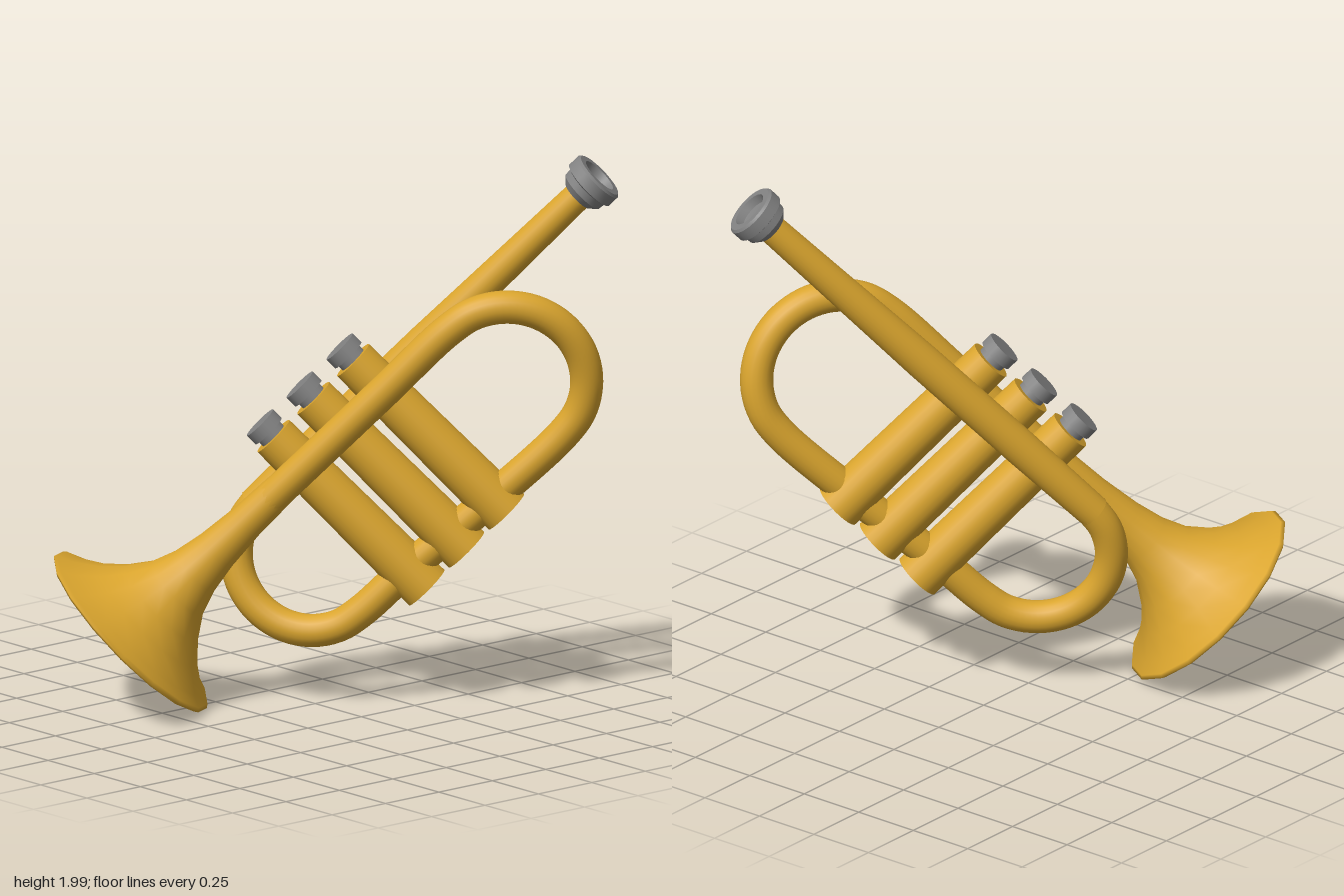
import * as THREE from 'three';
import { toCreasedNormals } from 'three/addons/utils/BufferGeometryUtils.js';

export function createModel() {
  const brass = new THREE.MeshStandardMaterial({ color: 0xdaa52e });
  brass.name = 'brass';
  const steel = new THREE.MeshStandardMaterial({ color: 0x838383 });
  steel.name = 'steel';

  const model = new THREE.Group();
  model.name = 'trumpet';

  // Local frame: x runs along the pipes to the mouthpiece, y up the valves, z across.
  const body = new THREE.Group();
  body.name = 'body';
  const h = Math.SQRT1_2;
  body.applyMatrix4(new THREE.Matrix4().makeBasis(
    new THREE.Vector3(0.5, h, -0.5),
    new THREE.Vector3(-0.5, h, 0.5),
    new THREE.Vector3(h, 0, h)));
  model.add(body);

  const add = (name, geometry, material, x = 0, y = 0, z = 0) => {
    const mesh = new THREE.Mesh(geometry, material);
    mesh.name = name;
    mesh.position.set(x, y, z);
    body.add(mesh);
    return mesh;
  };
  // Turned part whose axis lies along local x; profile is [radius, x]
  const turned = (profile, sides) =>
    new THREE.LatheGeometry(profile.map(([r, x]) => new THREE.Vector2(r, x)), sides).rotateZ(-Math.PI / 2);

  const pipeY = 0.657, leadZ = -0.1;

  // Bell: inside wall from the throat to the rim, then the outside back to the pipe
  add('bell', turned([
    [0, 0.4], [0.05, 0.3], [0.068, 0.12], [0.11, -0.03], [0.17, -0.11], [0.235, -0.18], [0.32, -0.245],
    [0.372, -0.272], [0.385, -0.262], [0.375, -0.25],
    [0.33, -0.232], [0.25, -0.175], [0.187, -0.11], [0.132, -0.03], [0.1, 0.06], [0.08, 0.17],
    [0.066, 0.32], [0.06, 0.5],
  ], 16), brass, 0, pipeY, 0.09);

  // Lead pipe, narrowing towards the mouthpiece
  add('leadPipe', turned([[0.06, 0.34], [0.065, 0.7], [0.065, 1.2], [0.052, 2.0]], 24), brass, 0, pipeY, leadZ);

  // Half-circle bend in the x-y plane, with z drifting from z0 to z1
  const bend = (cx, cy, r, start, turn, z0, z1) => Array.from({ length: 9 }, (_, i) => {
    const t = i / 8, angle = start + turn * t;
    return new THREE.Vector3(cx + r * Math.cos(angle), cy + r * Math.sin(angle),
      THREE.MathUtils.lerp(z0, z1, t * t * (3 - 2 * t)));
  });

  // One pipe: round the lower bend, through the valves, round the upper bend to the bell
  const path = new THREE.CatmullRomCurve3([
    new THREE.Vector3(0.5, pipeY, leadZ),
    ...bend(0.36, 0.394, 0.263, Math.PI / 2, Math.PI, leadZ, 0),
    new THREE.Vector3(0.59, 0.125, 0),
    new THREE.Vector3(0.99, 0.1, 0),
    ...bend(1.34, 0.374, 0.283, -Math.PI / 2, Math.PI, 0, 0.12),
    new THREE.Vector3(1.0, pipeY, 0.115),
    new THREE.Vector3(0.42, pipeY, 0.092),
  ]);
  add('mainTubing', new THREE.TubeGeometry(path, 160, 0.059, 20), brass);

  // Three valves with finger buttons
  for (let i = 0; i < 3; i++) {
    const x = 0.59 + 0.2 * i;
    add('valveCasing', new THREE.CylinderGeometry(0.08, 0.089, 0.77, 24), brass, x, 0.415, 0);
    add('valveStem', new THREE.CylinderGeometry(0.052, 0.052, 0.04, 20), steel, x, 0.815, 0);
    add('valveButton', new THREE.CylinderGeometry(0.066, 0.066, 0.044, 20), steel, x, 0.846, 0);
  }

  // Mouthpiece with a hollow cup
  add('mouthpiece', toCreasedNormals(turned([
    [0, 1.965], [0.06, 1.965], [0.085, 1.99], [0.088, 2.018], [0.102, 2.024], [0.102, 2.066],
    [0.094, 2.075], [0.068, 2.075], [0.06, 2.045], [0, 2.03],
  ], 24), 0.5), steel, 0, pipeY, leadZ);

  return model;
}
